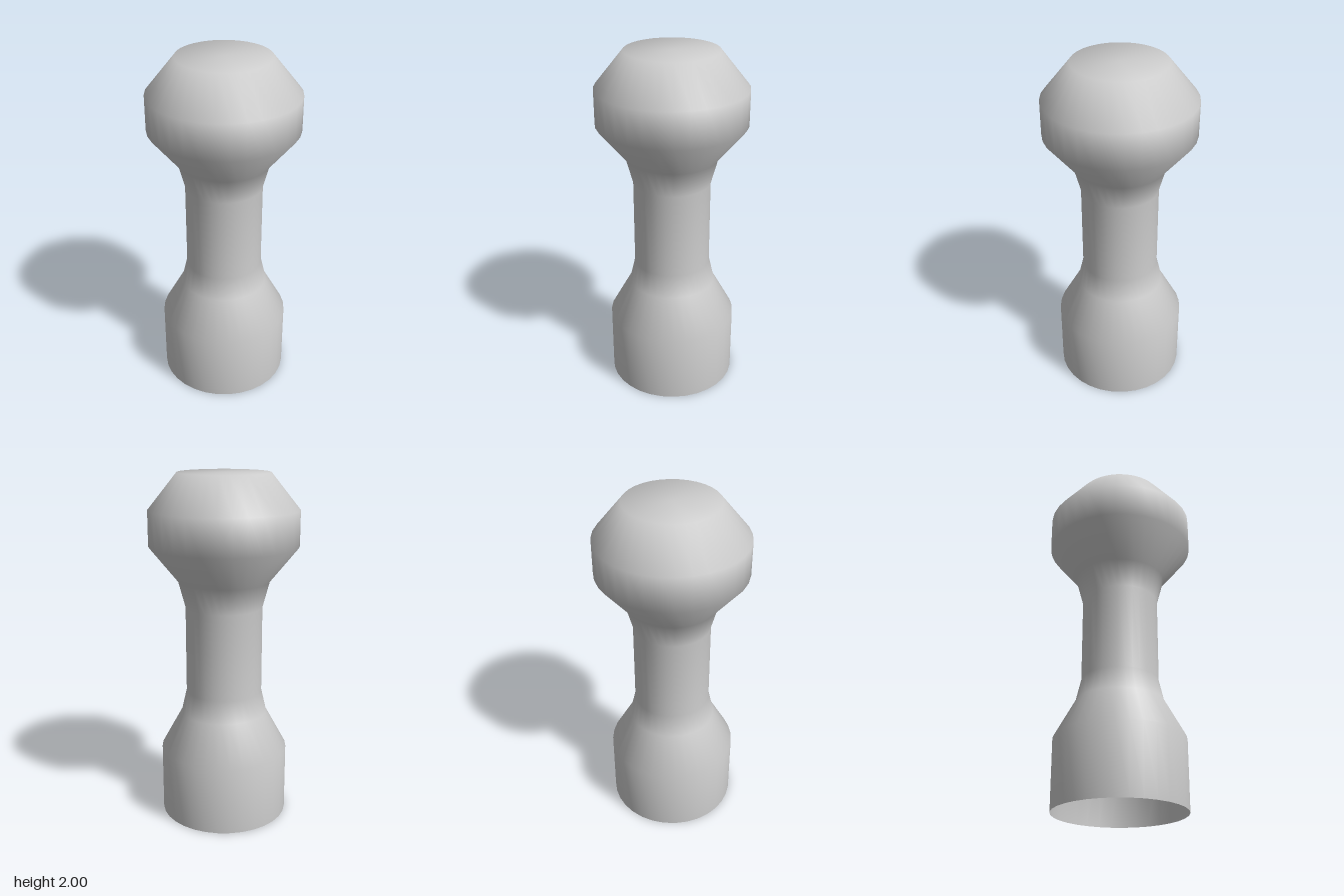
import * as THREE from 'three';

export function createModel() {
  const group = new THREE.Group();
  group.name = 'knobbedPeg';

  // Radius and height, from the open base up to the closed crown
  const profile = [
    [0.37, 0], [0.37, 0.4],                            // base sleeve
    [0.25, 0.62], [0.22, 0.75],                        // shoulder
    [0.22, 1.25], [0.26, 1.4],                         // shaft and flare
    [0.422, 1.6], [0.422, 1.8], [0.26, 2], [0, 2],     // knob and flat crown
  ].map(([r, y]) => new THREE.Vector2(r, y));

  // One smooth shell, open underneath
  const body = new THREE.Mesh(
    new THREE.LatheGeometry(profile, 32),
    new THREE.MeshStandardMaterial({ color: 0xcccccc, side: THREE.DoubleSide })
  );
  body.name = 'pegBody';
  group.add(body);

  return group;
}
